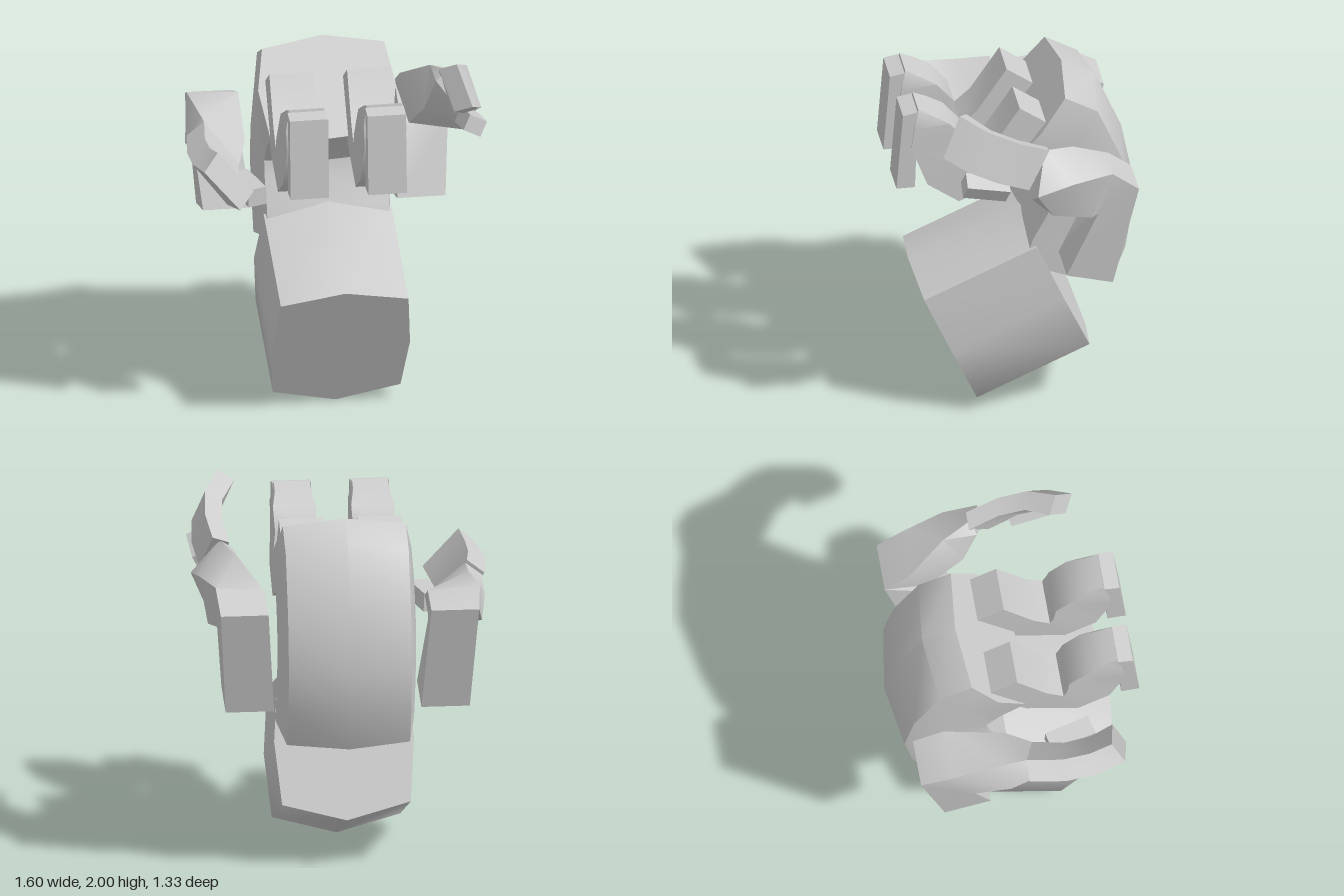
import * as THREE from 'three';
import { toCreasedNormals } from 'three/addons/utils/BufferGeometryUtils.js';

const material = new THREE.MeshStandardMaterial({ color: 0xcccccc });
const midX = -0.008; // middle plane of the body

// Skin a list of equal-sized rings and cap both ends; faces always point outward.
function loft(name, rings, crease = 0.7) {
  const n = rings[0].length;
  const pts = rings.flat().map((p) => new THREE.Vector3(...p));
  const tris = [];
  for (let s = 0; s < rings.length - 1; s++) {
    for (let i = 0; i < n; i++) {
      const a = s * n + i, b = s * n + (i + 1) % n;
      tris.push([a, b, b + n], [a, b + n, a + n]);
    }
  }
  const end = (rings.length - 1) * n;
  for (let i = 1; i < n - 1; i++) {
    tris.push([0, i + 1, i], [end, end + i, end + i + 1]);
  }
  let volume = 0;
  const cross = new THREE.Vector3();
  for (const [a, b, c] of tris) volume += pts[a].dot(cross.crossVectors(pts[b], pts[c]));
  if (volume < 0) tris.forEach((t) => t.reverse());
  const geo = new THREE.BufferGeometry().setFromPoints(pts);
  geo.setIndex(tris.flat());
  const mesh = new THREE.Mesh(toCreasedNormals(geo, crease), material);
  mesh.name = name;
  return mesh;
}

// Four-cornered ring from a centre and two half axes.
function quad([c, u, v]) {
  return [[1, 1], [-1, 1], [-1, -1], [1, -1]].map(([s, t]) => c.map((k, i) => k + s * u[i] + t * v[i]));
}

// Box with a pose.
function block(name, size, position, rotation) {
  const mesh = new THREE.Mesh(new THREE.BoxGeometry(...size), material);
  mesh.position.set(...position);
  mesh.rotation.set(...rotation);
  mesh.name = name;
  return mesh;
}

// Ring with rounded front and back, between an inner and outer point given as [z, y].
function bodyRing([inner, outer], corner, middle) {
  const at = (x, t) => [midX + x, inner[1] + (outer[1] - inner[1]) * t, inner[0] + (outer[0] - inner[0]) * t];
  return [at(0, 0), at(corner, 0.04), at(middle, 0.5), at(corner, 0.9),
    at(0, 1), at(-corner, 0.9), at(-middle, 0.5), at(-corner, 0.04)];
}

export function createModel() {
  const model = new THREE.Group();
  model.name = 'curledFigure';

  // Head: bulged prism, tilted face down
  const face = [[0, 0.423], [0.345, 0.35], [0.375, 0], [0.345, -0.34],
    [0, -0.432], [-0.345, -0.34], [-0.375, 0], [-0.345, 0.35]];
  const headRing = (d) => face.map(([x, v]) => [midX + x, 0.393 + 0.91 * v + 0.405 * d, 0.375 + 0.414 * v - 0.914 * d]);
  model.add(loft('head', [headRing(0), headRing(0.667)], 1.25));

  // Torso: curled from the hips down to the neck
  const spine = [
    [[0.06, 1.47], [-0.28, 1.925]],
    [[-0.08, 1.34], [-0.46, 1.83]],
    [[-0.15, 1.25], [-0.605, 1.49]],
    [[-0.13, 1.17], [-0.665, 1.18]],
    [[-0.05, 1.03], [-0.63, 0.92]],
    [[0, 0.88], [-0.55, 0.715]],
  ];
  model.add(loft('torso', spine.map((p) => bodyRing(p, 0.33, 0.372))));

  // Legs: thigh down to the knee, shin back up, flat foot in front
  const legPath = [
    [[0, 1.84], [-0.2, 1.7], 0.118],
    [[0.16, 1.6], [0.05, 1.42], 0.12],
    [[0.25, 1.52], [0.33, 1.3], 0.122],
    [[0.27, 1.58], [0.5, 1.42], 0.122],
    [[0.285, 1.67], [0.585, 1.64], 0.112],
    [[0.38, 1.78], [0.57, 1.76], 0.115],
    [[0.47, 1.84], [0.545, 1.87], 0.096],
  ];
  const foot = [[0.63, 1.845], [0.55, 1.86], [0.565, 1.4], [0.665, 1.4]];
  for (const side of [1, -1]) {
    const leg = new THREE.Group();
    leg.name = side > 0 ? 'leftLeg' : 'rightLeg';
    const cx = midX + side * 0.21;
    leg.add(loft('thighAndShin', legPath.map(([a, b, w]) => [
      [cx - w, a[1], a[0]], [cx + w, a[1], a[0]], [cx + w, b[1], b[0]], [cx - w, b[1], b[0]],
    ])));
    leg.add(loft('foot', [-0.104, 0.104].map((x) => foot.map(([z, y]) => [cx + x, y, z]))));
    model.add(leg);
  }

  // Arms: upper arm rises to a bent elbow, forearm reaches forward and twists
  const upperArm = (side) => [
    [[midX + side * 0.525, 0.942, -0.325], [0.13, 0, 0], [0, -0.033, -0.125]],
    [[midX + side * 0.565, 1.43, -0.475], [0.128, 0, 0], [0, 0.065, -0.11]],
  ];
  model.add(loft('leftArm', [
    ...upperArm(1),
    [[0.585, 1.48, -0.39], [0.13, 0.01, 0.01], [-0.015, 0.12, -0.06]],
    [[0.645, 1.56, -0.18], [0.1, -0.06, 0.015], [0.025, 0.105, -0.05]],
    [[0.685, 1.635, -0.04], [0.075, -0.1, 0.03], [0.035, 0.025, -0.01]],
  ].map(quad)));
  model.add(loft('rightArm', [
    ...upperArm(-1),
    [[-0.59, 1.45, -0.37], [0.14, -0.01, 0], [0.01, 0.115, -0.05]],
    [[-0.615, 1.42, -0.1], [0.115, -0.07, 0.02], [0.045, 0.07, -0.01]],
    [[-0.64, 1.42, 0.03], [0.085, -0.11, 0.03], [0.045, 0.035, 0]],
  ].map(quad)));

  // Hands: gently curled paddles
  model.add(loft('leftHand', [
    [[0.67, 1.665, -0.04], [0.03, -0.1, 0.06], [0.045, 0.015, 0]],
    [[0.695, 1.74, 0.13], [0.03, -0.1, 0.06], [0.045, 0.015, 0.005]],
    [[0.68, 1.81, 0.28], [0.03, -0.1, 0.06], [0.045, 0.02, 0.015]],
    [[0.61, 1.875, 0.4], [0.035, -0.105, 0.05], [0.045, 0.022, 0.025]],
  ].map(quad)));
  model.add(loft('rightHand', [
    [[-0.645, 1.43, 0.02], [0.09, -0.115, 0.03], [0.048, 0.038, 0]],
    [[-0.67, 1.415, 0.2], [0.09, -0.115, 0.02], [0.048, 0.038, 0]],
    [[-0.665, 1.425, 0.36], [0.09, -0.115, 0.02], [0.048, 0.038, -0.012]],
    [[-0.63, 1.455, 0.5], [0.095, -0.11, 0.018], [0.04, 0.042, -0.03]],
  ].map(quad)));

  // Thumbs
  model.add(block('leftThumb', [0.1, 0.09, 0.24], [0.715, 1.605, 0.25], [-0.22, 0.05, -0.45]));
  model.add(block('rightThumb', [0.105, 0.1, 0.25], [-0.49, 1.3, 0.26], [0.0, 0.25, 0.05]));

  return model;
}
